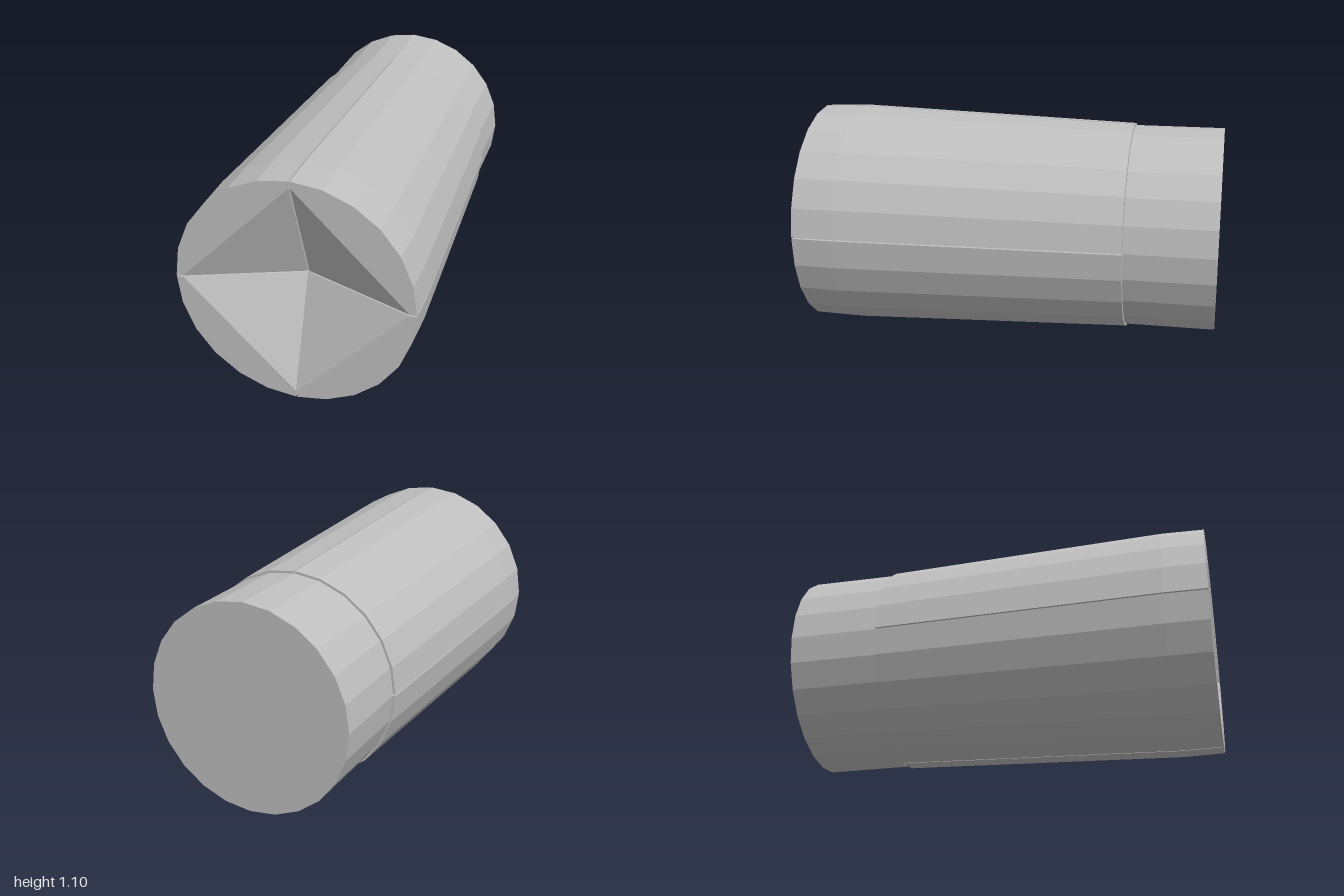
import * as THREE from 'three';

const CENTER_Y = 0.555, GAP = 0.003, STEPS = 6;

// One quarter jaw: tapered outer shell, slot walls and a sunken triangular front facet
function jawGeometry() {
  const pos = [];
  const fan = (...p) => {
    for (let i = 1; i < p.length - 1; i++) pos.push(...p[0], ...p[i], ...p[i + 1]);
  };
  const arc = (r, z) => Array.from({ length: STEPS + 1 }, (_, i) => {
    const a = (i / STEPS) * Math.PI / 2;
    return [Math.max(GAP, r * Math.cos(a)), Math.max(GAP, r * Math.sin(a)), z];
  });
  const rings = [arc(0.505, -0.57), arc(0.551, 0.8), arc(0.547, 1)];
  const [back, mid, front] = rings;
  const axis = [GAP, GAP, -0.57], apex = [GAP, GAP, 0.8];
  const a = [0.515, GAP, 1], b = [GAP, 0.515, 1];

  // Outer shell
  for (let k = 0; k < 2; k++)
    for (let i = 0; i < STEPS; i++)
      fan(rings[k][i], rings[k][i + 1], rings[k + 1][i + 1], rings[k + 1][i]);
  // Flat rim, sunken facet and rear face
  fan(a, ...front, b);
  fan(a, b, apex);
  fan(axis, ...[...back].reverse());
  // Slot walls
  fan(axis, back[0], mid[0], front[0], a, apex);
  fan(axis, apex, b, front[STEPS], mid[STEPS], back[STEPS]);

  const g = new THREE.BufferGeometry();
  g.setAttribute('position', new THREE.Float32BufferAttribute(pos, 3));
  g.computeVertexNormals();
  return g;
}

export function createModel() {
  const model = new THREE.Group();
  const grey = new THREE.MeshStandardMaterial({ color: 0xbfbfbf, flatShading: true });
  grey.name = 'plain grey';

  // Four jaws around the axis
  const geometry = jawGeometry();
  for (let i = 0; i < 4; i++) {
    const jaw = new THREE.Mesh(geometry, grey);
    jaw.name = 'jaw' + (i + 1);
    jaw.rotation.z = i * Math.PI / 2;
    jaw.position.y = CENTER_Y;
    model.add(jaw);
  }

  // Straight collar at the rear
  const collarGeometry = new THREE.CylinderGeometry(0.495, 0.495, 0.427, 24);
  collarGeometry.rotateX(Math.PI / 2);
  const collar = new THREE.Mesh(collarGeometry, grey);
  collar.name = 'rearCollar';
  collar.position.set(0, CENTER_Y, -0.7865);
  model.add(collar);

  return model;
}
